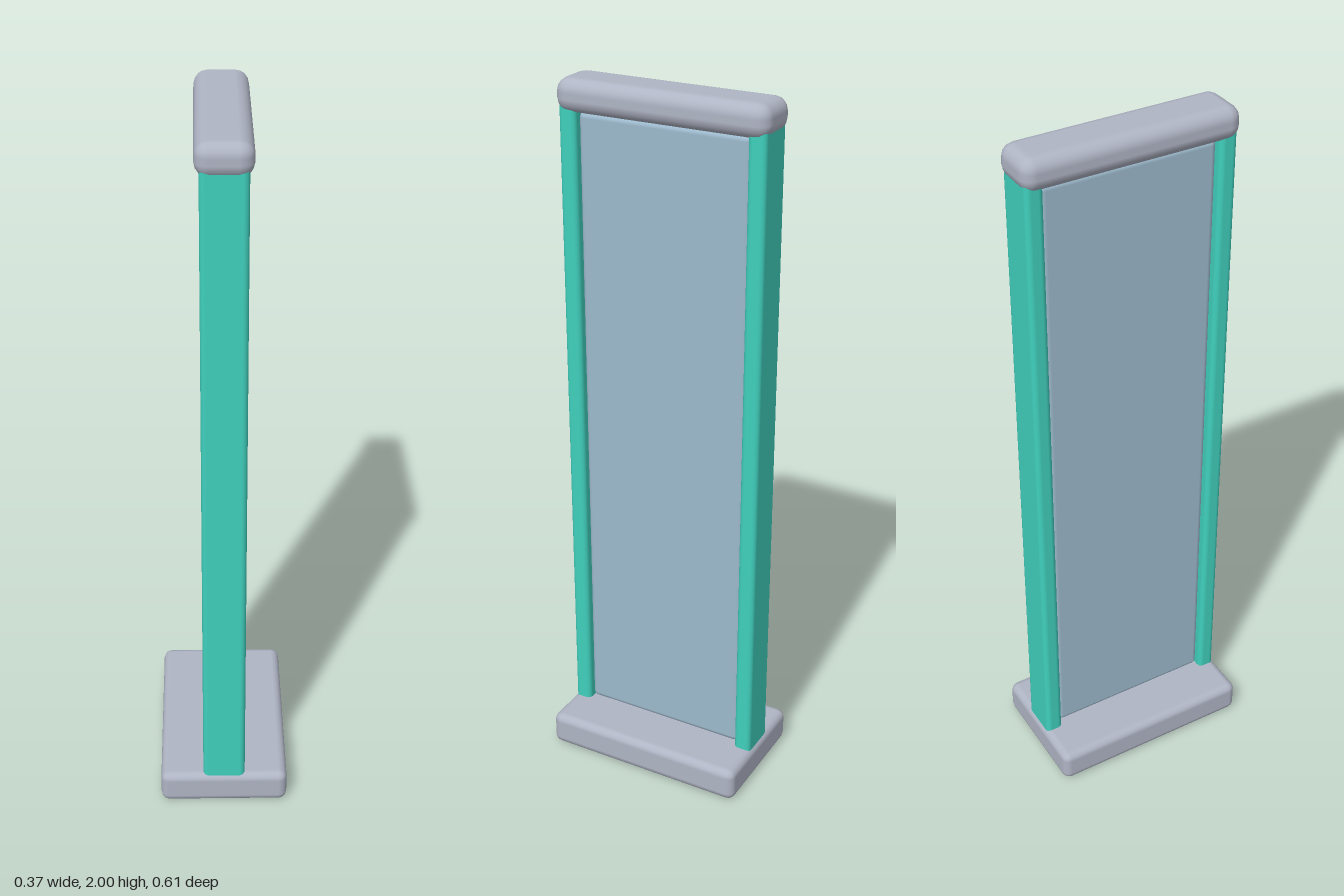
import * as THREE from 'three';
import { RoundedBoxGeometry } from 'three/addons/geometries/RoundedBoxGeometry.js';

function material(name, color) {
  const m = new THREE.MeshStandardMaterial({ color });
  m.name = name;
  return m;
}

export function createModel() {
  const group = new THREE.Group();
  group.name = 'barrierPanel';

  const grey = material('lightGrey', 0xb0b5c5);
  const teal = material('teal', 0x40d0bd);
  const blue = material('paleBlue', 0x9dbacd);

  // Rounded block given by its width, depth and bottom/top heights
  const block = (name, mat, width, depth, bottom, top, radius, z = 0) => {
    const geometry = new RoundedBoxGeometry(width, top - bottom, depth, 2, radius);
    const mesh = new THREE.Mesh(geometry, mat);
    mesh.name = name;
    mesh.position.set(0, (bottom + top) / 2, z);
    group.add(mesh);
  };

  // Foot and top rail
  block('base', grey, 0.365, 0.606, 0, 0.1, 0.024);
  block('topCap', grey, 0.145, 0.606, 1.91, 2, 0.037);

  // Upright posts, set into the base and cap
  block('frontPost', teal, 0.12, 0.05, 0.07, 1.945, 0.015, 0.27);
  block('backPost', teal, 0.12, 0.05, 0.07, 1.945, 0.015, -0.27);

  // Inset panel between the posts
  block('panel', blue, 0.08, 0.494, 0.1, 1.913, 0.016);

  return group;
}
